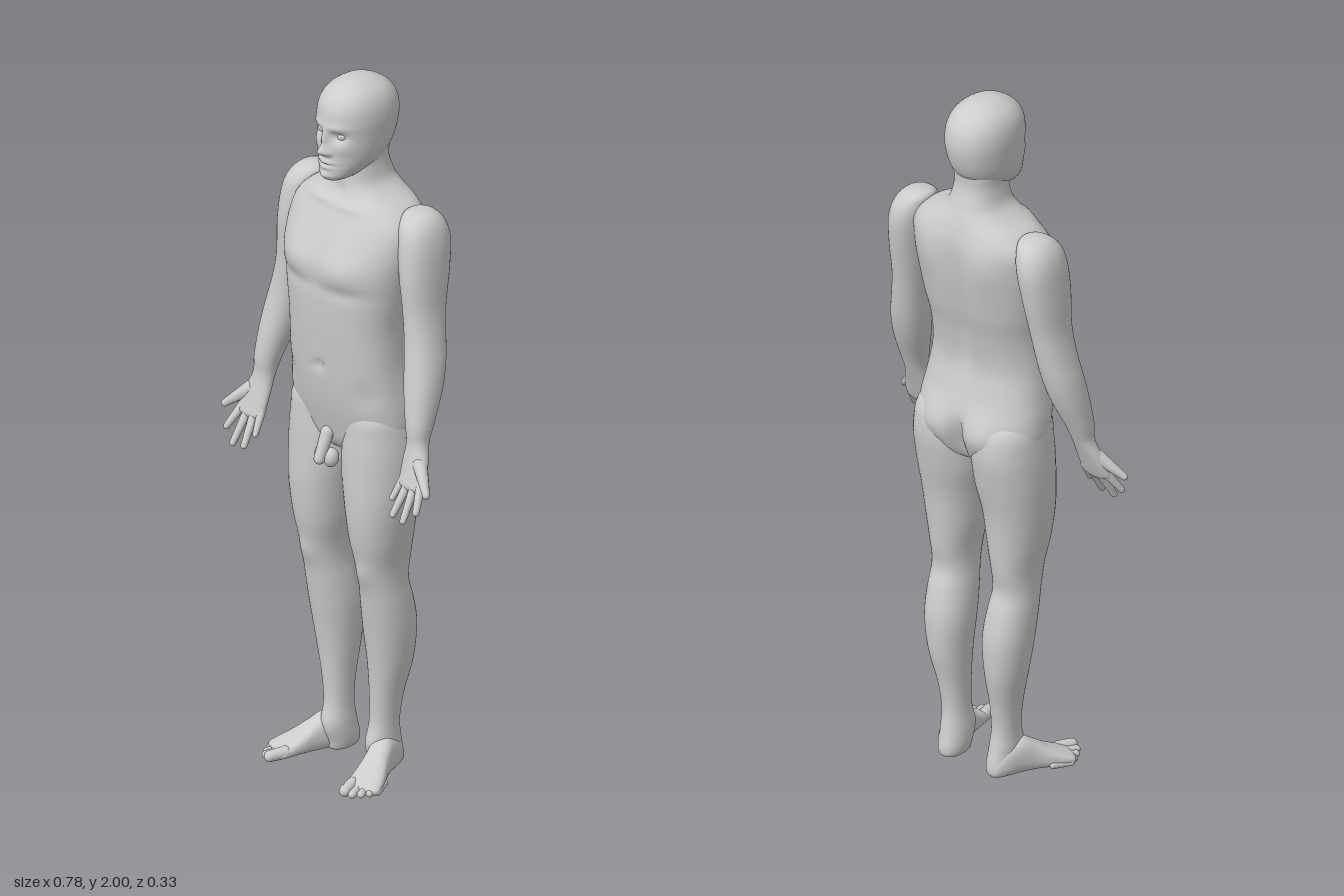
import * as THREE from 'three';
import { mergeVertices } from 'three/addons/utils/BufferGeometryUtils.js';

const skin = new THREE.MeshStandardMaterial({ color: 0xcccccc });
skin.name = 'pale grey';

// Uniform Catmull-Rom between section values
const spline = (a, b, c, d, t) =>
  0.5 * (2 * b + (c - a) * t + (2 * a - 5 * b + 4 * c - d) * t * t + (3 * b - a - 3 * c + d) * t ** 3);

// Skin over horizontal sections [y, centreX, halfWidth, zFront, zBack].
// Bumps [x, y, radiusX, radiusY, amount, side] push the front (1) or back (-1) along z.
function loft(sections, { n = 2.2, sides = 40, steps = 5, bumps = [] } = {}) {
  const rows = sections[0][0] > sections.at(-1)[0] ? [...sections].reverse() : sections;
  const last = rows.length - 1, pos = [], idx = [];
  const power = v => Math.sign(v) * Math.abs(v) ** (2 / n);
  const total = last * steps;
  for (let r = 0; r <= total; r++) {
    const i = Math.min(Math.floor(r / steps), last - 1), t = r / steps - i;
    const at = k => rows[Math.max(0, Math.min(last, k))];
    const [y, cx, w, f, b] = rows[0].map((_, k) => spline(at(i - 1)[k], at(i)[k], at(i + 1)[k], at(i + 2)[k], t));
    const rx = Math.max(w, 0), cz = (f + b) / 2, rz = Math.max(f - b, 0) / 2;
    for (let j = 0; j < sides; j++) {
      const a = (j / sides) * Math.PI * 2, s = Math.sin(a);
      const x = cx + rx * power(Math.cos(a));
      let z = cz + rz * power(s);
      for (const [bx, by, brx, bry, amount, side] of bumps) {
        const g = Math.exp(-(((x - bx) / brx) ** 2) - ((y - by) / bry) ** 2);
        z += side * amount * g * Math.min(1, Math.max(0, s * side * 2));
      }
      pos.push(x, y, z);
      if (r < total) {
        const p = r * sides + j, q = r * sides + (j + 1) % sides;
        idx.push(p, p + sides, q, q, p + sides, q + sides);
      }
    }
  }
  const geo = new THREE.BufferGeometry();
  geo.setAttribute('position', new THREE.Float32BufferAttribute(pos, 3));
  geo.setIndex(idx);
  const merged = mergeVertices(geo, 1e-5);
  merged.computeVertexNormals();
  return merged;
}

// Tapered finger shape with round ends, from a to b
function digit(a, b, r0, r1) {
  const from = new THREE.Vector3(...a), dir = new THREE.Vector3(...b).sub(from), len = dir.length();
  const pts = [];
  for (let i = 0; i <= 5; i++) {
    const t = (i / 5 - 1) * Math.PI / 2;
    pts.push(new THREE.Vector2(r0 * Math.cos(t), r0 * Math.sin(t)));
  }
  pts.push(new THREE.Vector2(r0 * 0.45 + r1 * 0.55, len * 0.5));
  for (let i = 0; i <= 5; i++) {
    const t = (i / 5) * Math.PI / 2;
    pts.push(new THREE.Vector2(r1 * Math.cos(t), len - r1 + r1 * Math.sin(t)));
  }
  const geo = new THREE.LatheGeometry(pts, 14);
  geo.applyQuaternion(new THREE.Quaternion().setFromUnitVectors(new THREE.Vector3(0, 1, 0), dir.normalize()));
  return geo.translate(...a);
}

const ball = (x, y, z, rx, ry, rz) =>
  new THREE.SphereGeometry(1, 20, 14).scale(rx, ry, rz).translate(x, y, z);

// Opposite-side copy across x = 0, keeping faces outward
function mirror(geo) {
  const g = geo.clone().scale(-1, 1, 1), ix = g.index;
  for (let i = 0; i < ix.count; i += 3) {
    const a = ix.getX(i);
    ix.setX(i, ix.getX(i + 2));
    ix.setX(i + 2, a);
  }
  g.computeVertexNormals();
  return g;
}

const both = (x, ...rest) => [[x, ...rest], [-x, ...rest]];

export function createModel() {
  const model = new THREE.Group();
  model.name = 'standingFigure';
  const add = (name, geo) => {
    const m = new THREE.Mesh(geo, skin);
    m.name = name;
    model.add(m);
  };
  const pair = (name, geo) => {
    add('left' + name, geo);
    add('right' + name, mirror(geo));
  };

  // Torso and neck, with chest, belly, spine and seat modelling
  add('torso', loft([
    [0.92, 0, 0, -0.02, -0.06], [0.935, 0, 0.06, 0.04, -0.1], [0.97, 0, 0.15, 0.07, -0.13],
    [1.02, 0, 0.188, 0.085, -0.145], [1.08, 0, 0.191, 0.1, -0.143], [1.15, 0, 0.182, 0.112, -0.125],
    [1.23, 0, 0.174, 0.12, -0.11], [1.32, 0, 0.174, 0.127, -0.122], [1.4, 0, 0.186, 0.13, -0.142],
    [1.48, 0, 0.198, 0.13, -0.155], [1.55, 0, 0.205, 0.112, -0.16], [1.61, 0, 0.2, 0.083, -0.16],
    [1.65, 0, 0.165, 0.062, -0.152], [1.68, 0, 0.11, 0.046, -0.142], [1.71, 0, 0.076, 0.036, -0.13],
    [1.76, 0, 0.064, 0.03, -0.115], [1.82, 0, 0.06, 0.02, -0.11], [1.85, 0, 0, -0.04, -0.05],
  ], {
    n: 2.35, sides: 80, steps: 6, bumps: [
      ...both(0.085, 1.5, 0.07, 0.045, 0.014, 1), ...both(0.09, 1.435, 0.07, 0.016, -0.007, 1),
      [0, 1.5, 0.02, 0.09, -0.008, 1], [0, 1.3, 0.014, 0.1, -0.005, 1], [0, 1.2, 0.014, 0.012, -0.012, 1],
      ...both(0.14, 1.14, 0.03, 0.04, -0.006, 1), ...both(0.06, 1.655, 0.05, 0.012, 0.006, 1),
      [0, 1.685, 0.018, 0.02, -0.008, 1],
      [0, 1.38, 0.028, 0.24, -0.02, -1], ...both(0.1, 1.56, 0.06, 0.07, 0.01, -1),
      ...both(0.085, 1.04, 0.06, 0.055, 0.018, -1), [0, 1.0, 0.018, 0.07, -0.04, -1],
    ],
  }));

  // Head and face
  add('head', loft([
    [1.725, 0, 0, 0.06, 0.05], [1.73, 0, 0.024, 0.08, 0.01], [1.742, 0, 0.044, 0.09, -0.03],
    [1.765, 0, 0.062, 0.092, -0.08], [1.79, 0, 0.074, 0.09, -0.11], [1.82, 0, 0.082, 0.09, -0.13],
    [1.86, 0, 0.087, 0.09, -0.143], [1.9, 0, 0.09, 0.09, -0.147], [1.94, 0, 0.085, 0.082, -0.138],
    [1.97, 0, 0.069, 0.06, -0.115], [1.99, 0, 0.043, 0.026, -0.08], [1.998, 0, 0.02, 0, -0.052],
    [2.0, 0, 0, -0.025, -0.025],
  ], {
    sides: 112, steps: 8, bumps: [
      [0, 1.852, 0.011, 0.026, 0.014, 1], [0, 1.82, 0.014, 0.013, 0.026, 1],
      ...both(0.015, 1.814, 0.008, 0.008, 0.008, 1),
      ...both(0.036, 1.863, 0.02, 0.014, -0.014, 1), ...both(0.034, 1.888, 0.025, 0.01, 0.005, 1),
      ...both(0.05, 1.83, 0.018, 0.016, 0.004, 1),
      [0, 1.787, 0.024, 0.008, 0.008, 1], [0, 1.772, 0.02, 0.007, 0.007, 1],
      [0, 1.779, 0.026, 0.003, -0.006, 1], [0, 1.748, 0.022, 0.012, 0.009, 1],
    ],
  }));
  pair('Eye', ball(0.036, 1.863, 0.063, 0.014, 0.011, 0.013));

  // Arm running into the palm
  pair('Arm', loft([
    [1.668, 0.2, 0, -0.06, -0.06], [1.66, 0.2, 0.036, -0.022, -0.1], [1.63, 0.212, 0.05, 0.008, -0.125],
    [1.58, 0.222, 0.053, 0.022, -0.135], [1.5, 0.23, 0.05, 0.028, -0.125], [1.4, 0.238, 0.045, 0.024, -0.105],
    [1.32, 0.25, 0.046, 0.028, -0.092], [1.25, 0.262, 0.049, 0.038, -0.078], [1.18, 0.273, 0.046, 0.05, -0.055],
    [1.1, 0.285, 0.036, 0.06, -0.018], [1.05, 0.289, 0.031, 0.06, 0.004], [1.0, 0.297, 0.041, 0.07, 0.026],
    [0.96, 0.302, 0.045, 0.08, 0.042], [0.935, 0.304, 0.042, 0.085, 0.054], [0.92, 0.304, 0, 0.072, 0.068],
  ]));

  // Fingers and thumb
  [
    ['LittleFinger', [0.27, 0.955, 0.06], [0.257, 0.89, 0.1], 0.012, 0.008],
    ['RingFinger', [0.291, 0.948, 0.064], [0.28, 0.855, 0.12], 0.013, 0.009],
    ['MiddleFinger', [0.313, 0.947, 0.065], [0.322, 0.85, 0.122], 0.013, 0.009],
    ['IndexFinger', [0.333, 0.955, 0.062], [0.36, 0.883, 0.11], 0.013, 0.009],
    ['Thumb', [0.318, 1.0, 0.052], [0.387, 0.938, 0.094], 0.02, 0.01],
  ].forEach(([name, ...d]) => pair(name, digit(...d)));

  // Leg from hip to heel, with knee and calf
  pair('Leg', loft([
    [1.12, 0.1, 0, -0.03, -0.03], [1.08, 0.1, 0.078, 0.07, -0.13], [1.0, 0.1, 0.095, 0.086, -0.152],
    [0.9, 0.1, 0.098, 0.09, -0.138], [0.8, 0.105, 0.086, 0.09, -0.117], [0.7, 0.105, 0.072, 0.08, -0.106],
    [0.62, 0.105, 0.057, 0.062, -0.1], [0.56, 0.105, 0.055, 0.05, -0.097], [0.5, 0.103, 0.06, 0.04, -0.11],
    [0.42, 0.1, 0.062, 0.027, -0.124], [0.32, 0.097, 0.053, 0.012, -0.118], [0.22, 0.09, 0.039, 0.003, -0.096],
    [0.14, 0.086, 0.034, 0.002, -0.086], [0.08, 0.084, 0.037, 0.015, -0.094], [0.03, 0.082, 0.035, 0, -0.104],
    [0.005, 0.082, 0.026, -0.01, -0.095], [0.002, 0.082, 0, -0.05, -0.05],
  ], {
    bumps: [
      [0.107, 0.6, 0.03, 0.035, 0.008, 1], [0.105, 0.57, 0.05, 0.05, -0.006, -1],
      [0.1, 0.4, 0.012, 0.1, -0.004, -1],
    ],
  }));

  // Foot laid along its length and turned outward
  const place = geo => geo.rotateY(0.37).translate(0.075, 0, -0.1);
  pair('Foot', place(loft([
    [0, 0, 0, -0.02, -0.025], [0.008, 0, 0.022, -0.004, -0.05], [0.04, 0, 0.033, 0, -0.085],
    [0.09, 0, 0.034, 0, -0.105], [0.13, 0.001, 0.036, 0, -0.085], [0.17, 0.003, 0.043, 0, -0.06],
    [0.21, 0.004, 0.048, 0, -0.04], [0.235, 0.002, 0.044, -0.002, -0.028], [0.25, -0.005, 0, -0.012, -0.014],
  ], { n: 2.5 }).rotateX(Math.PI / 2)));
  [[-0.031, 0.278, 0.017], [-0.008, 0.275, 0.0125], [0.012, 0.263, 0.0115], [0.03, 0.248, 0.011], [0.045, 0.23, 0.0105]]
    .forEach(([x, end, r], i) => pair('Toe' + (i + 1),
      place(digit([x * 0.9, r + 0.004, end - 0.06], [x, r, end], r, r * 0.9))));

  // Groin anatomy
  add('groinFront', digit([0, 0.992, 0.083], [0, 0.91, 0.118], 0.018, 0.015));
  pair('GroinSide', ball(0.017, 0.925, 0.085, 0.02, 0.027, 0.022));

  return model;
}
